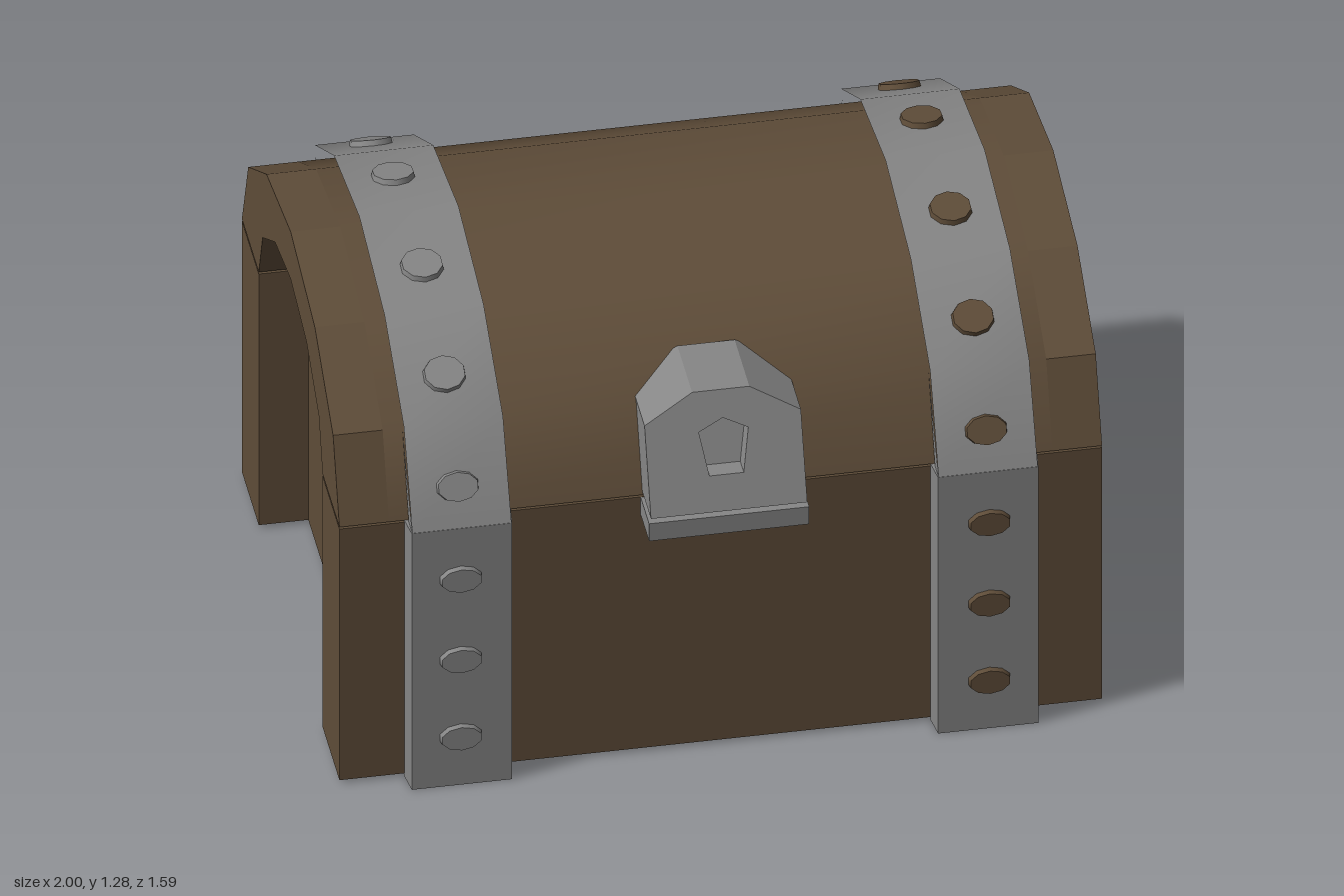
import * as THREE from 'three';
import { toCreasedNormals } from 'three/addons/utils/BufferGeometryUtils.js';

// Profiles as [z, y], running from front to back
const OUTER = [[0.68, 0.812], [0.59, 1.04], [0.33, 1.2], [-0.015, 1.26], [-0.36, 1.2], [-0.62, 1.04], [-0.71, 0.812]];
const INNER = [[0.44, 0.812], [0.385, 0.96], [0.21, 1.07], [-0.015, 1.11], [-0.24, 1.07], [-0.415, 0.96], [-0.47, 0.812]];
const STRAP = [[0.742, 0.81], [0.62, 1.065], [0.345, 1.225], [-0.015, 1.285], [-0.375, 1.225], [-0.65, 1.065], [-0.775, 0.81]];
const END = 0.87;        // where the recessed end panels start
const STRAP_X = 0.69;

export function createModel() {
  const wood = new THREE.MeshStandardMaterial({ color: 0x5f4d39 });
  wood.name = 'brown wood';
  const iron = new THREE.MeshStandardMaterial({ color: 0x868686 });
  iron.name = 'grey iron';

  const chest = new THREE.Group();
  chest.name = 'chest';

  const add = (parent, name, geometry, material) => {
    const mesh = new THREE.Mesh(geometry, material);
    mesh.name = name;
    parent.add(mesh);
    return mesh;
  };
  const group = (name) => {
    const g = new THREE.Group();
    g.name = name;
    chest.add(g);
    return g;
  };
  const box = (x0, x1, y0, y1, z0, z1) =>
    new THREE.BoxGeometry(x1 - x0, y1 - y0, z1 - z0)
      .translate((x0 + x1) / 2, (y0 + y1) / 2, (z0 + z1) / 2);
  const shapeOf = (points) => new THREE.Shape(points.map(([a, b]) => new THREE.Vector2(a, b)));
  // Extrudes a [z, y] profile between two x positions
  const extrudeX = (points, x0, x1) =>
    new THREE.ExtrudeGeometry(shapeOf(points), { depth: x1 - x0, bevelEnabled: false })
      .rotateY(-Math.PI / 2).translate(x1, 0, 0);

  // Body with four corner posts framing the recessed ends
  const body = group('body');
  add(body, 'bodyCore', box(-END, END, 0.01, 0.806, -0.71, 0.68), wood);
  for (const [x0, x1] of [[END, 1], [-1, -END]]) {
    add(body, 'frontPost', box(x0, x1, 0.01, 0.806, 0.44, 0.68), wood);
    add(body, 'backPost', box(x0, x1, 0.01, 0.806, -0.71, -0.47), wood);
  }

  // Rounded lid with an arch at each end
  const lid = group('lid');
  add(lid, 'lidCore', toCreasedNormals(extrudeX(OUTER, -END, END), 0.75), wood);
  const arch = [...OUTER, ...[...INNER].reverse()];
  add(lid, 'lidArch', extrudeX(arch, END, 1), wood);
  add(lid, 'lidArch', extrudeX(arch, -1, -END), wood);

  // Straps and rivets
  const lidStrapGeometry = (x) => {
    const v = [];
    const L = x - 0.13, R = x + 0.13;
    const put = (px, [z, y]) => v.push(px, y, z);
    for (let i = 0; i < STRAP.length - 1; i++) {
      const a = STRAP[i], b = STRAP[i + 1];
      put(L, a); put(R, a); put(R, b);
      put(L, a); put(R, b); put(L, b);
    }
    // Small side wedges closing the lowest segments
    for (const front of [true, false]) {
      const tri = front
        ? [STRAP[0], [0.69, 0.81], [0.6, 1.045]]
        : [[-0.72, 0.81], STRAP[6], [-0.63, 1.045]];
      tri.forEach((p) => put(R, p));
      [...tri].reverse().forEach((p) => put(L, p));
    }
    const g = new THREE.BufferGeometry();
    g.setAttribute('position', new THREE.Float32BufferAttribute(v, 3));
    return toCreasedNormals(g, 0.75);
  };

  // Upright strap, narrower on its outer face
  const uprightGeometry = () => {
    const g = box(-0.14, 0.14, 0, 0.812, -0.035, 0.03);
    const p = g.attributes.position;
    for (let i = 0; i < p.count; i++) if (p.getZ(i) > 0) p.setX(i, p.getX(i) * 0.94);
    return g.toNonIndexed();
  };

  for (const side of [-1, 1]) {
    const x = side * STRAP_X;
    const strap = group(side > 0 ? 'leftStrap' : 'rightStrap');
    add(strap, 'lidStrap', lidStrapGeometry(x), iron);
    add(strap, 'frontUpright', uprightGeometry(), iron).position.set(x, 0, 0.712);
    const back = add(strap, 'backUpright', uprightGeometry(), iron);
    back.position.set(x, 0, -0.745);
    back.rotation.y = Math.PI;

    const rivetMaterial = side > 0 ? wood : iron;
    const rivet = (y, z, ny, nz, r) => {
      const geo = new THREE.CylinderGeometry(0.9, 1, 0.03, 10);
      const mesh = add(strap, 'rivet', geo, rivetMaterial);
      mesh.scale.set(0.06, 1, r);
      mesh.rotation.x = Math.atan2(nz, ny);
      mesh.position.set(x + side * 0.003, y, z);
    };
    for (const y of [0.155, 0.4, 0.655]) {
      rivet(y, 0.742, 0, 1, 0.04);
      rivet(y, -0.775, 0, -1, 0.04);
    }
    // Lid rivets sit on each segment of the strap
    const along = [0.4, 0.42, 0.44, 0.58, 0.6, 0.6];
    const radius = [0.043, 0.054, 0.06, 0.06, 0.054, 0.043];
    along.forEach((t, i) => {
      const [z0, y0] = STRAP[i], [z1, y1] = STRAP[i + 1];
      rivet(y0 + (y1 - y0) * t, z0 + (z1 - z0) * t, z0 - z1, y1 - y0, radius[i]);
    });
  }

  // Lock with a sloping face and a recessed keyhole
  const lock = group('lock');
  const slope = (y) => 0.8 - (y - 0.82) * 0.4;
  const outline = [[-0.205, 0.82], [0.205, 0.82], [0.205, 1.05], [0.075, 1.12], [-0.075, 1.12], [-0.205, 1.05]];
  const hole = [[-0.045, 0.91], [-0.065, 1.02], [0, 1.05], [0.065, 1.02], [0.045, 0.91]];
  const lockLayer = (withHole, frontOffset, backZ) => {
    const shape = shapeOf(outline);
    if (withHole) shape.holes.push(shapeOf(hole));
    const g = new THREE.ExtrudeGeometry(shape, { depth: 1, bevelEnabled: false });
    const p = g.attributes.position;
    for (let i = 0; i < p.count; i++) {
      const front = slope(p.getY(i)) - frontOffset;
      p.setZ(i, p.getZ(i) > 0.5 ? front : backZ ?? front - 0.05);
    }
    g.computeVertexNormals();
    return g;
  };
  add(lock, 'lockFace', lockLayer(true, 0), iron);
  add(lock, 'lockBody', lockLayer(false, 0.05, 0.47), iron);
  add(lock, 'lockCatch', box(-0.21, 0.21, 0.75, 0.805, 0.66, 0.8), iron);

  return chest;
}
